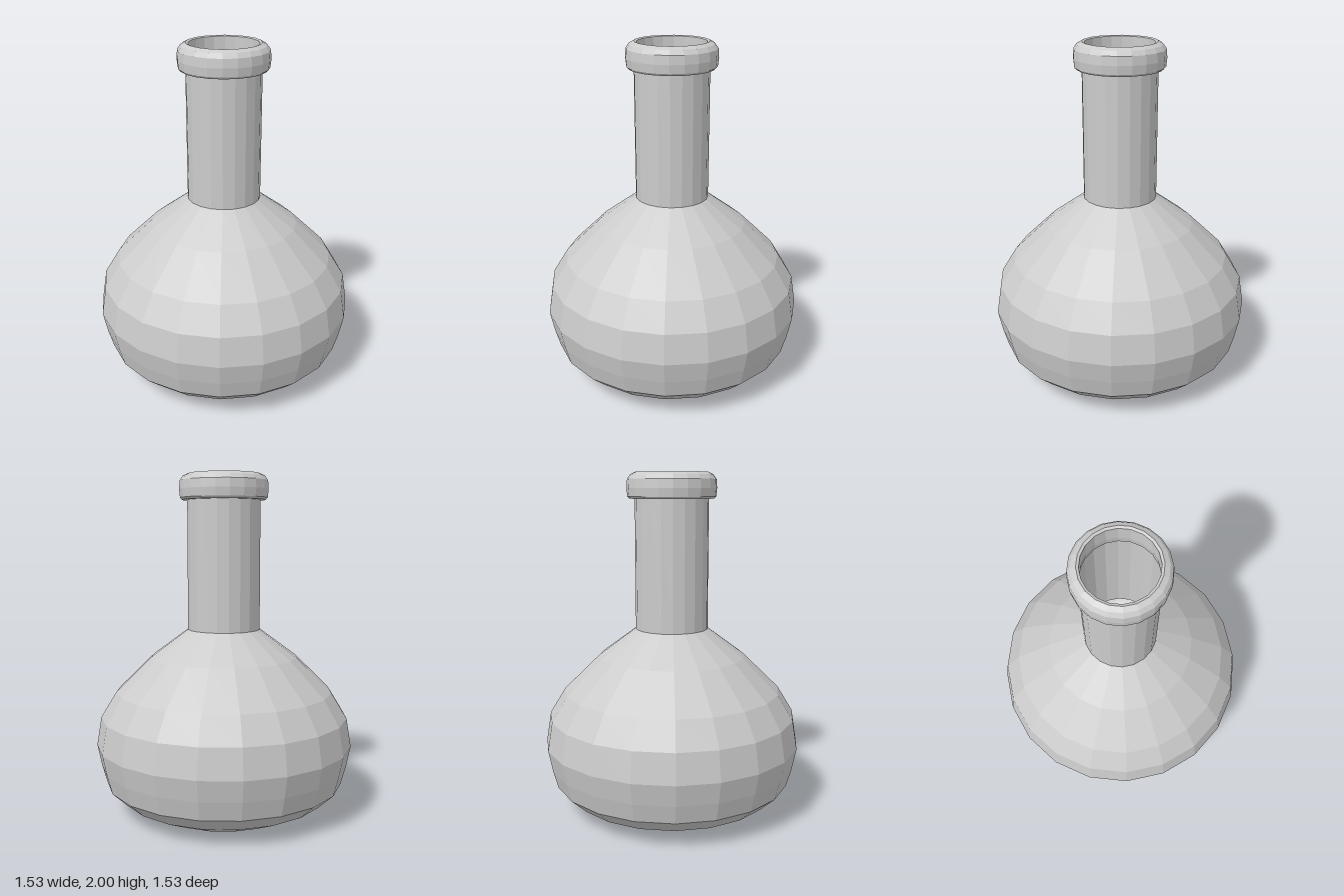
import * as THREE from 'three';

const SIDES = 20;

export function createModel() {
  const flask = new THREE.Group();
  flask.name = 'flask';
  const material = new THREE.MeshStandardMaterial({
    color: 0xcccccc, flatShading: true, side: THREE.DoubleSide,
  });

  // Revolve a [radius, height] profile into a faceted part
  const addLathe = (name, profile) => {
    const points = profile.map(([r, y]) => new THREE.Vector2(r, y));
    const mesh = new THREE.Mesh(new THREE.LatheGeometry(points, SIDES), material);
    mesh.name = name;
    flask.add(mesh);
  };

  // Rounded bulb with a flat base
  addLathe('body', [
    [0, 0], [0.44, 0], [0.62, 0.085], [0.71, 0.17], [0.74, 0.28], [0.765, 0.405],
    [0.737, 0.575], [0.645, 0.725], [0.435, 0.93], [0.215, 1.093],
  ]);

  // Straight open neck
  addLathe('neck', [[0.215, 1.093], [0.215, 1.86]]);

  // Hollow rolled lip around the mouth
  addLathe('rim', [
    [0.205, 1.85], [0.245, 1.85], [0.257, 1.862], [0.262, 1.91], [0.258, 1.96],
    [0.24, 1.985], [0.212, 2], [0.198, 1.995], [0.198, 1.9], [0.205, 1.85],
  ]);

  return flask;
}
